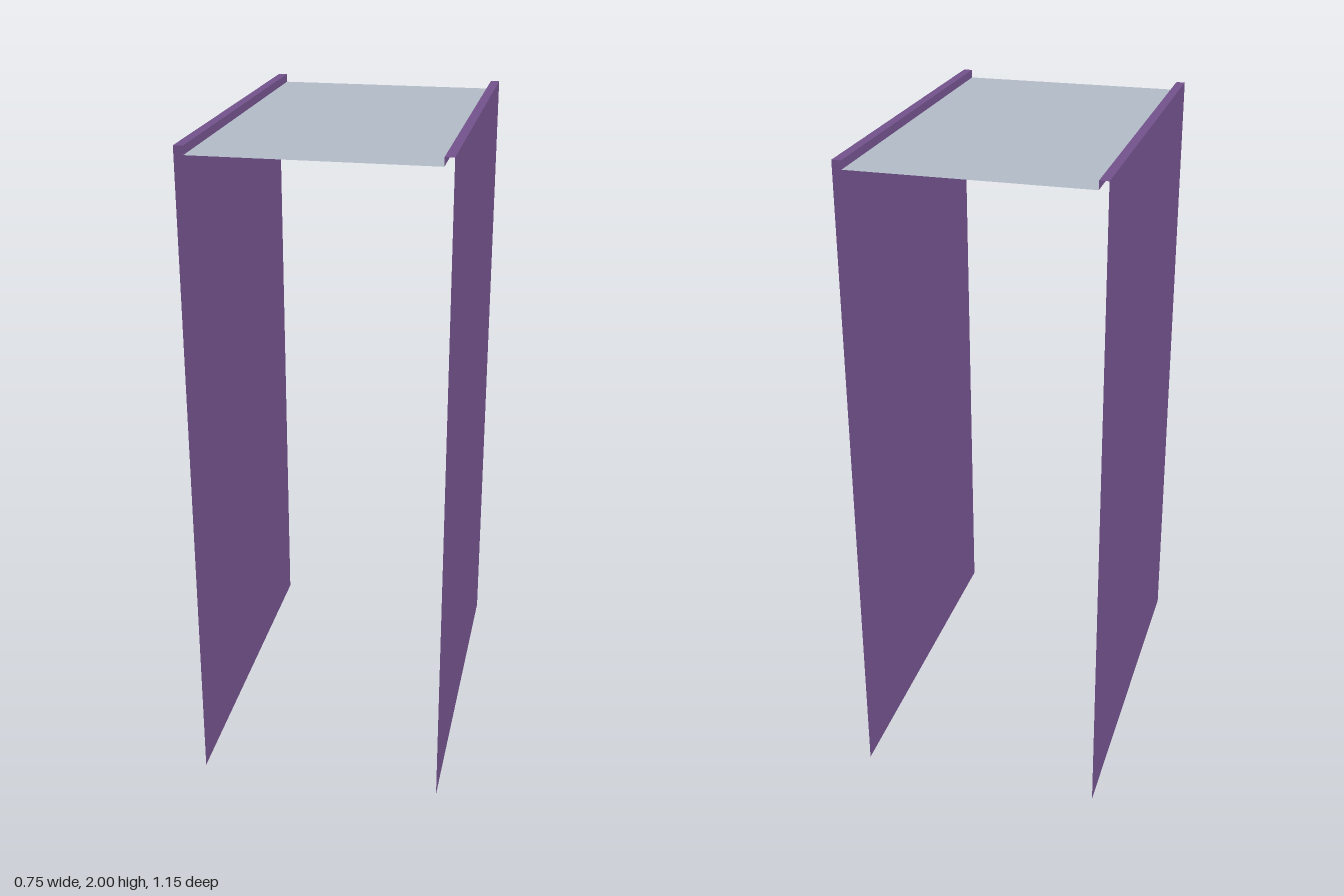
import * as THREE from 'three';

const HEIGHT = 2, DEPTH = 1.147, OUTER = 0.373, INNER = 0.346, SHELF_Y = 1.975;

export function createModel() {
  const model = new THREE.Group();
  model.name = 'openTable';

  const purple = new THREE.MeshStandardMaterial({ color: 0x73538d, side: THREE.DoubleSide });
  purple.name = 'purple';
  const grey = new THREE.MeshStandardMaterial({ color: 0xb3bcc8, side: THREE.DoubleSide });
  grey.name = 'paleGrey';

  const add = (parent, name, geometry, material, x, y) => {
    const mesh = new THREE.Mesh(geometry, material);
    mesh.name = name;
    mesh.position.set(x, y, 0);
    parent.add(mesh);
  };
  // Thin sheets running the full depth
  const upright = (height, side) => new THREE.PlaneGeometry(DEPTH, height).rotateY(side * Math.PI / 2);
  const flat = (width) => new THREE.PlaneGeometry(width, DEPTH).rotateX(-Math.PI / 2);

  // Side panels, each folded inward and down at the top
  for (const side of [-1, 1]) {
    const panel = new THREE.Group();
    panel.name = side > 0 ? 'leftSide' : 'rightSide';
    add(panel, 'sideWall', upright(HEIGHT, side), purple, side * OUTER, HEIGHT / 2);
    add(panel, 'topRim', flat(OUTER - INNER), purple, side * (OUTER + INNER) / 2, HEIGHT);
    add(panel, 'innerLip', upright(HEIGHT - SHELF_Y, -side), purple, side * INNER, (HEIGHT + SHELF_Y) / 2);
    model.add(panel);
  }

  // Top panel, slightly recessed between the rims
  add(model, 'topPanel', flat(INNER * 2), grey, 0, SHELF_Y);
  return model;
}
